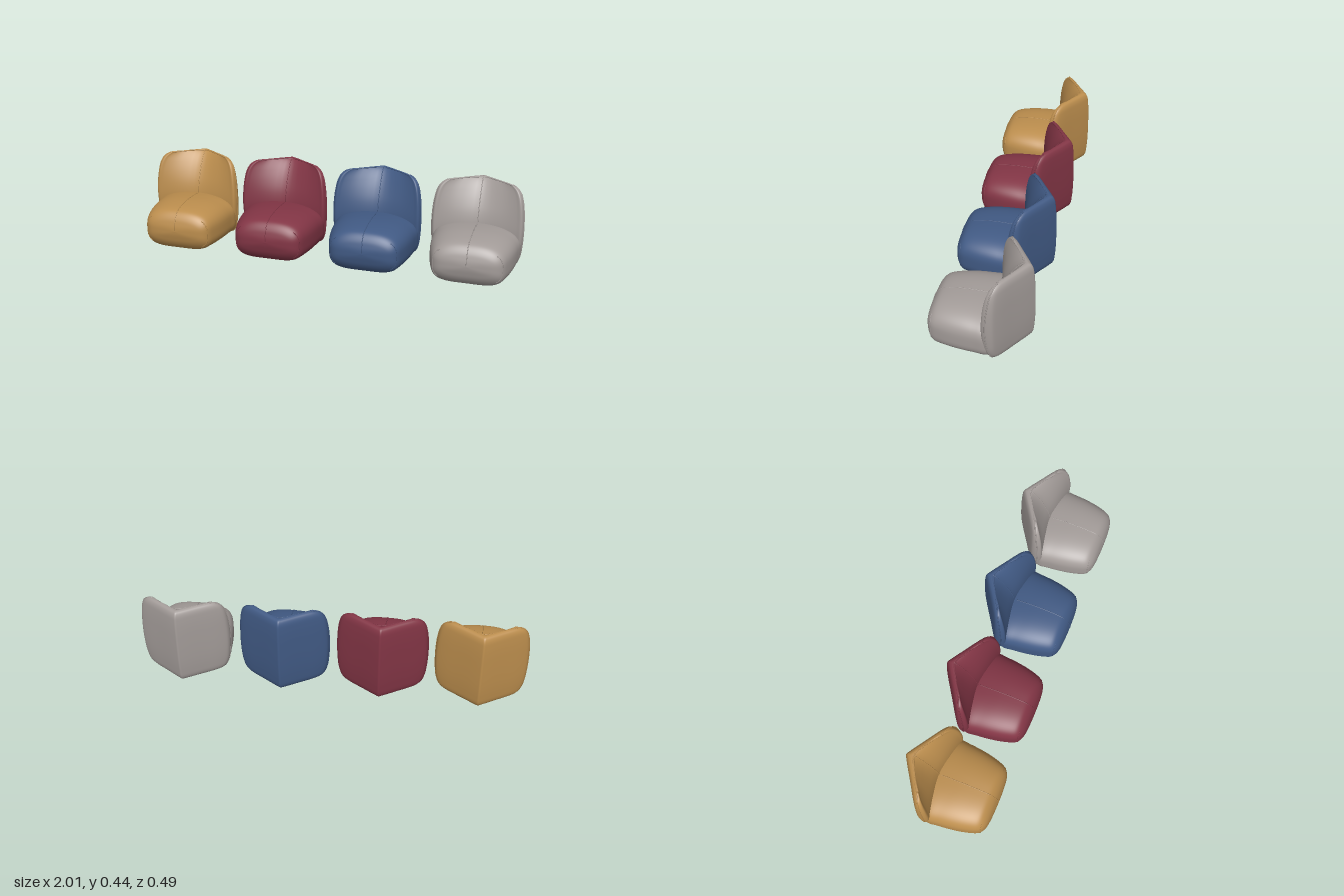
import * as THREE from 'three';

const V = (x, y, z) => new THREE.Vector3(x, y, z);
const AROUND = 72; // points in each cross-section

// Smooth grid of points through a list of rings
function smoothGrid(rings, sub = 4) {
  const steps = (rings.length - 1) * sub;
  const columns = rings[0].map((_, j) => new THREE.CatmullRomCurve3(rings.map(r => r[j])));
  return Array.from({ length: steps + 1 }, (_, i) => columns.map(c => c.getPoint(i / steps)));
}

// Skin over a grid of closed rings
function skin(grid) {
  const n = grid[0].length, pos = [], index = [];
  grid.forEach(r => r.forEach(p => pos.push(p.x, p.y, p.z)));
  for (let i = 0; i < grid.length - 1; i++) {
    for (let j = 0; j < n; j++) {
      const a = i * n + j, b = i * n + (j + 1) % n;
      index.push(a, b, b + n, a, b + n, a + n);
    }
  }
  const g = new THREE.BufferGeometry();
  g.setAttribute('position', new THREE.Float32BufferAttribute(pos, 3));
  g.setIndex(index);
  g.computeVertexNormals();
  return g;
}

const seam = (points, radius) =>
  new THREE.TubeGeometry(new THREE.CatmullRomCurve3(points), points.length * 2, radius, 6);

// Seat cushion sections: z, half width, top, bottom
const seatRows = [
  [-0.2, 0.03, 0.2, 0.03], [-0.15, 0.1, 0.215, 0.012], [-0.1, 0.185, 0.22, 0.007],
  [-0.06, 0.222, 0.225, 0.006], [0.0, 0.219, 0.23, 0.006], [0.06, 0.213, 0.232, 0.006],
  [0.12, 0.203, 0.229, 0.006], [0.17, 0.19, 0.222, 0.006], [0.197, 0.18, 0.213, 0.007],
  [0.215, 0.168, 0.198, 0.026], [0.229, 0.147, 0.177, 0.05], [0.237, 0.118, 0.155, 0.075],
  [0.242, 0.06, 0.135, 0.096], [0.244, 0.0005, 0.1155, 0.1145],
];

function seatRing([z, w, top, bottom]) {
  const mid = Math.min(0.115, (top + bottom) / 2 + 0.005), ring = [];
  for (let j = 0; j < AROUND; j++) {
    const a = (j / AROUND) * Math.PI * 2, c = Math.cos(a), s = Math.sin(a);
    const n = s > 0 ? 2.6 : 3.8;
    const x = w * Math.sign(c) * Math.abs(c) ** (2 / n);
    let y = mid + (s > 0 ? top - mid : mid - bottom) * Math.sign(s) * Math.abs(s) ** (2 / n);
    // shallow hollow under the seat, between the feet, fading out at the front
    const fade = THREE.MathUtils.clamp((0.2 - z) / 0.08, 0, 1);
    if (s < -0.5) y += 0.025 * fade * Math.max(0, 1 - (x / 0.09) ** 2);
    ring.push(V(x, y, z));
  }
  return ring;
}

// Backrest sections: y, half width, front centre z, wing front z, rear spine z
const backRows = [
  [0.006, 0.15, -0.13, -0.105, -0.2], [0.011, 0.178, -0.115, -0.086, -0.219],
  [0.03, 0.205, -0.1, -0.067, -0.232], [0.07, 0.222, -0.085, -0.052, -0.238],
  [0.13, 0.23, -0.075, -0.044, -0.242], [0.2, 0.233, -0.072, -0.04, -0.243],
  [0.27, 0.231, -0.086, -0.043, -0.242], [0.33, 0.225, -0.111, -0.05, -0.24],
  [0.38, 0.214, -0.14, -0.062, -0.236], [0.41, 0.198, -0.163, -0.076, -0.231],
  [0.428, 0.174, -0.182, -0.093, -0.221], [0.435, 0.145, -0.195, -0.112, -0.207],
];

// V-shaped plan of the backrest, from front centre round to the rear spine and back
function backRing([y, w, zc, zf, zr], closing = false) {
  const rear = f => zr + 0.66 * f * w;
  const front = f => zc + (zf - zc) * f;
  const half = [
    [0, zc], [0.5 * w, front(0.43)], [0.84 * w, front(0.86)], [0.95 * w, zf],
    [w, Math.max(zf - 0.02, (zf + rear(1)) / 2)], [0.98 * w, rear(0.98) + 0.003],
    [0.9 * w, rear(0.88)], [0.5 * w, rear(0.5) - 0.003], [0.014, zr + 0.007], [0, zr],
  ];
  const full = [...half, ...half.slice(1, -1).reverse().map(([x, z]) => [-x, z])];
  const curve = new THREE.CatmullRomCurve3(full.map(([x, z]) => V(x, y, z)), true);
  return Array.from({ length: AROUND }, (_, j) => {
    const p = curve.getPoint(j / AROUND);
    if (closing) { // flatten onto the middle line to close the end
      const f = Math.abs(p.x) / w * 0.94;
      p.set(p.x * 0.94, y, (front(f * 0.9) + rear(f)) / 2);
    }
    return p;
  });
}

function buildParts() {
  const seat = smoothGrid(seatRows.map(seatRing));
  const body = smoothGrid(backRows.map(r => backRing(r)));
  const back = [backRing(backRows[0], true), ...body, backRing(backRows.at(-1), true)];
  const topMid = AROUND / 4, edge = 16; // ring positions of the seams
  const column = (grid, j, from, to) => grid.slice(from, to).map(r => r[j]);
  const rim = body.length - 3;
  // piping up one wing, along the front of the top edge and down the other wing
  const piping = [
    ...column(body, edge, 1, rim),
    ...body[rim].slice(0, edge + 1).reverse(),
    ...body[rim].slice(AROUND - edge),
    ...column(body, AROUND - edge, 1, rim).reverse(),
  ];
  const front = seat[35], side = 9;
  return {
    seatCushion: skin(seat),
    backrest: skin(back),
    seatCentreSeam: seam(column(seat, topMid, 12, seat.length - 1), 0.0025),
    seatLeftSeam: seam([...front.slice(-side), ...front.slice(0, side)], 0.002),
    seatRightSeam: seam(front.slice(AROUND / 2 - side + 1, AROUND / 2 + side + 1), 0.002),
    backCentreSeam: seam(column(body, 0, 18, body.length), 0.0025),
    backPiping: seam(piping, 0.003),
  };
}

export function createModel() {
  const model = new THREE.Group();
  model.name = 'armchairRow';
  const material = (name, color) => {
    const m = new THREE.MeshStandardMaterial({ color });
    m.name = name;
    return m;
  };
  const feet = material('black', 0x222224);
  const parts = buildParts();
  const footGeometry = new THREE.CylinderGeometry(0.015, 0.015, 0.016, 20);

  const chairs = [
    ['mustardChair', -0.767, material('mustard', 0xbb8d4d)],
    ['burgundyChair', -0.263, material('burgundy', 0x823545)],
    ['blueChair', 0.245, material('blue', 0x415a84)],
    ['greyChair', 0.767, material('grey', 0xa39c99)],
  ];
  for (const [name, x, fabric] of chairs) {
    const chair = new THREE.Group();
    chair.name = name;
    chair.position.x = x;
    for (const [part, geometry] of Object.entries(parts)) {
      const mesh = new THREE.Mesh(geometry, fabric);
      mesh.name = part;
      chair.add(mesh);
    }
    // four round feet
    for (const fx of [-0.1, 0.1]) {
      for (const fz of [-0.065, 0.155]) {
        const foot = new THREE.Mesh(footGeometry, feet);
        foot.name = 'foot';
        foot.position.set(fx, 0.008, fz);
        chair.add(foot);
      }
    }
    model.add(chair);
  }
  return model;
}
